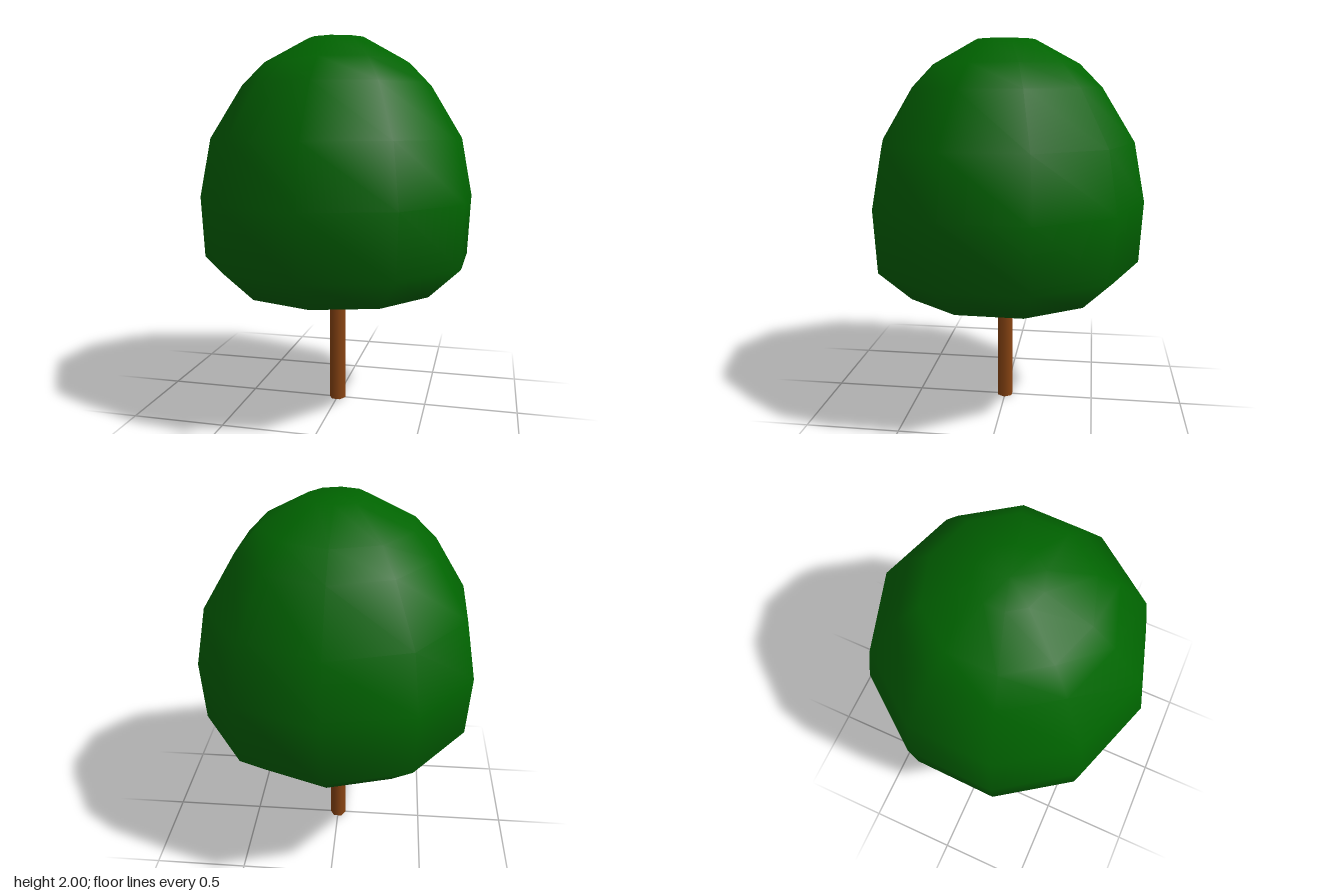
import * as THREE from 'three';

export function createModel() {
  const tree = new THREE.Group();
  tree.name = 'tree';

  const add = (name, geometry, color) => {
    const mesh = new THREE.Mesh(geometry, new THREE.MeshStandardMaterial({ color }));
    mesh.name = name;
    tree.add(mesh);
    return mesh;
  };

  // Trunk: slim six-sided post that runs a little way into the crown
  const trunkHeight = 0.66;
  add('trunk', new THREE.CylinderGeometry(0.046, 0.046, trunkHeight, 6, 1, false, Math.PI / 2), 0x8b4513)
    .position.y = trunkHeight / 2;

  // Crown: ten-sided smooth dome, [radius, height] from the underside to the top
  const profile = [
    [0, 0.6], [0.178, 0.6], [0.555, 0.665], [0.73, 0.83], [0.747, 1.16],
    [0.685, 1.475], [0.51, 1.755], [0.39, 1.875], [0.157, 2], [0, 2],
  ].map(([r, y]) => new THREE.Vector2(r, y));
  add('crown', new THREE.LatheGeometry(profile, 10, -0.025), 0x006400);

  return tree;
}
